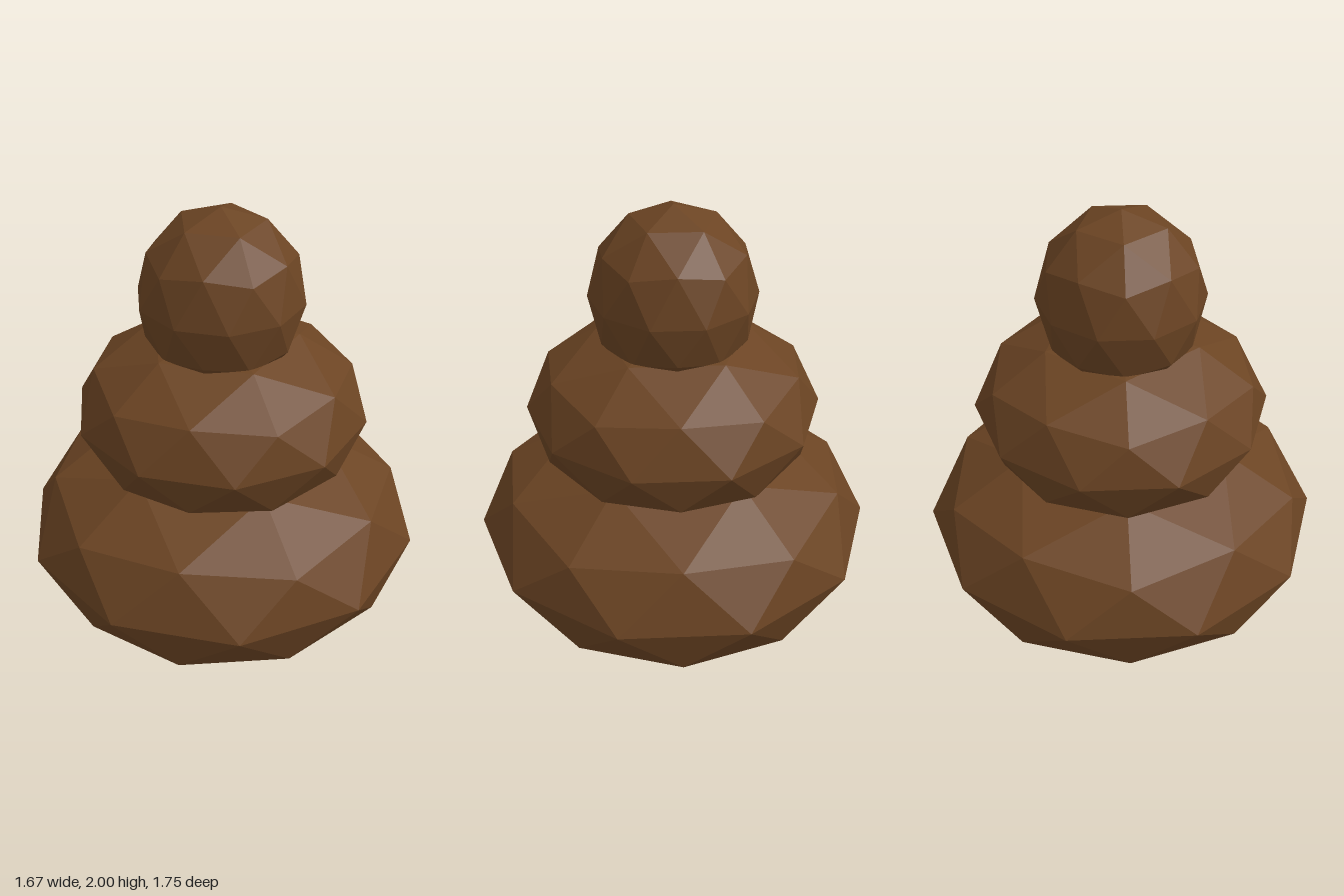
import * as THREE from 'three';

export function createModel() {
  const model = new THREE.Group();
  model.name = 'stackedMound';

  const brown = new THREE.MeshStandardMaterial({ color: 0x6b4423 });
  brown.name = 'brown';

  // Tilt that brings one icosahedron corner to the top pole
  const tilt = -Math.atan(2 / (1 + Math.sqrt(5)));

  // Faceted, flattened ball with poles on y
  function addBall(name, radius, halfHeight, y) {
    const geometry = new THREE.IcosahedronGeometry(1, 1);
    geometry.rotateZ(tilt);
    geometry.scale(radius, halfHeight, radius);
    geometry.computeVertexNormals(); // unshared corners give flat facets
    const ball = new THREE.Mesh(geometry, brown);
    ball.name = name;
    ball.position.y = y;
    model.add(ball);
  }

  addBall('bottomTier', 0.877, 0.48, 0.482);
  addBall('middleTier', 0.638, 0.39, 1.084);
  addBall('topTier', 0.357, 0.39, 1.61);

  return model;
}
